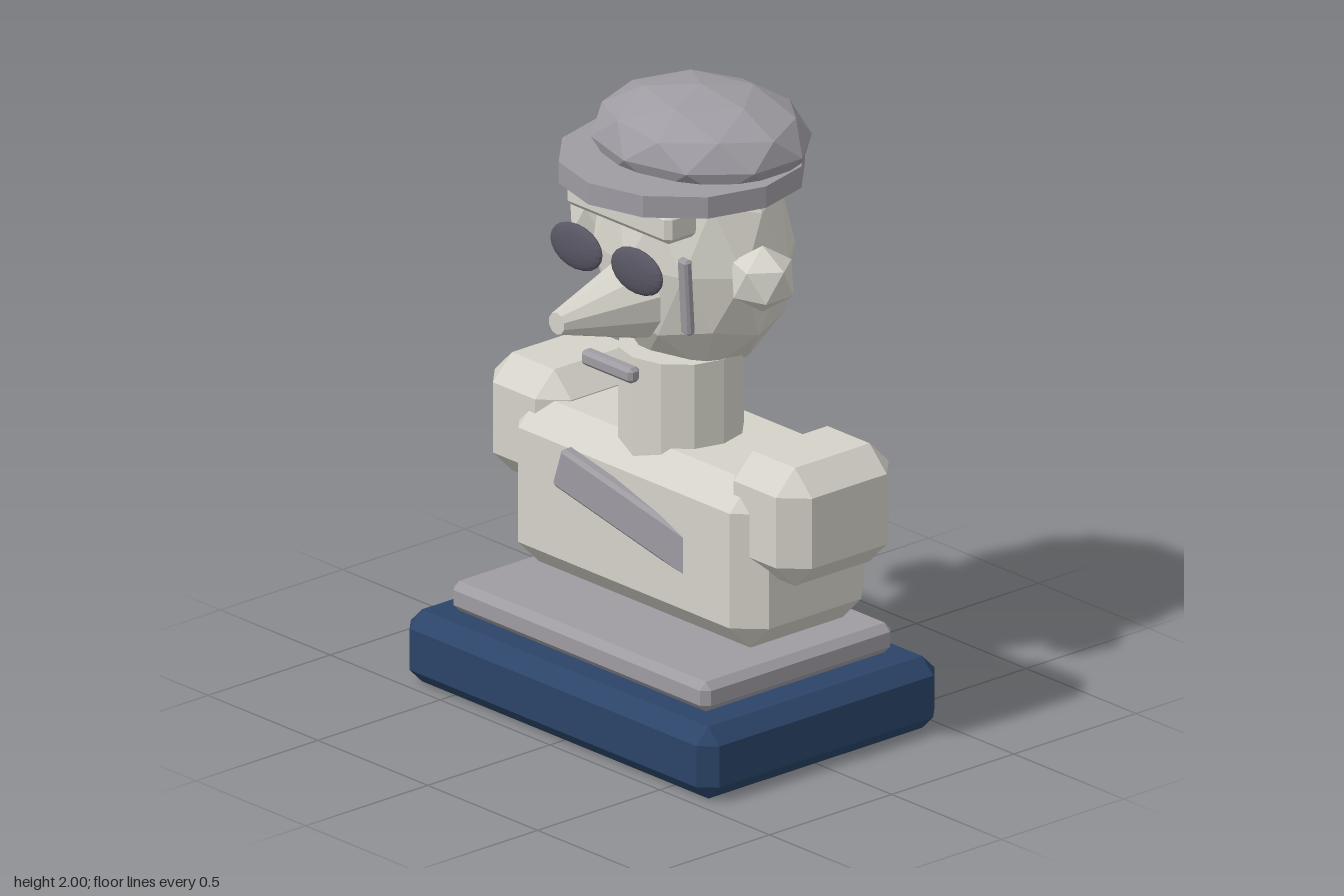
import * as THREE from 'three';
import { ConvexGeometry } from 'three/addons/geometries/ConvexGeometry.js';

function makeMaterial(name, color) {
  const m = new THREE.MeshStandardMaterial({ color, flatShading: true });
  m.name = name;
  return m;
}

// Box with every edge cut by a flat chamfer b
function chamferBox(w, h, d, b) {
  const half = [w / 2, h / 2, d / 2];
  const points = [];
  for (const sx of [-1, 1]) for (const sy of [-1, 1]) for (const sz of [-1, 1]) {
    for (let axis = 0; axis < 3; axis++) {
      const p = half.map((v, i) => (i === axis ? v : v - b));
      points.push(new THREE.Vector3(p[0] * sx, p[1] * sy, p[2] * sz));
    }
  }
  return new ConvexGeometry(points);
}

// Faceted ball with a vertex at each pole, stretched per axis
function facetBall(rx, ry, rz, detail) {
  const g = new THREE.IcosahedronGeometry(1, detail);
  g.rotateZ(-Math.atan(2 / (1 + Math.sqrt(5))));
  g.scale(rx, ry, rz);
  g.computeVertexNormals();
  return g;
}

export function createModel() {
  const stone = makeMaterial('pale stone', 0xd4d2c8);
  const grey = makeMaterial('warm grey', 0x9e9ba2);
  const navy = makeMaterial('navy blue', 0x2b4468);
  const dark = makeMaterial('dark grey', 0x585663);

  const model = new THREE.Group();
  model.name = 'bust';
  const add = (name, geometry, material, x, y, z) => {
    const mesh = new THREE.Mesh(geometry, material);
    mesh.name = name;
    mesh.position.set(x, y, z);
    model.add(mesh);
    return mesh;
  };

  // Pedestal
  add('base', chamferBox(1.405, 0.235, 0.975, 0.05), navy, 0, 0.1175, 0);
  add('plinth', chamferBox(1.17, 0.097, 0.78, 0.024), grey, 0, 0.288, 0);

  // Body
  add('torso', chamferBox(1.132, 0.545, 0.548, 0.085), stone, 0, 0.63, -0.077);
  add('neck', new THREE.CylinderGeometry(0.196, 0.196, 0.4, 12), stone, 0, 0.978, -0.037);

  // Diagonal sash sinking into the chest
  const sash = add('sash', chamferBox(0.7, 0.137, 0.05, 0.012), grey, 0.085, 0.673, 0.194);
  sash.rotation.set(0, 0.12, -0.295);

  // Head and face
  add('head', facetBall(0.347, 0.415, 0.285, 1), stone, 0, 1.49, -0.09);
  add('brow', chamferBox(0.476, 0.1, 0.13, 0.018), stone, 0, 1.678, 0.165);
  const nose = new THREE.CylinderGeometry(0.036, 0.13, 0.315, 10);
  nose.rotateX(Math.PI / 2);
  add('nose', nose, stone, 0, 1.372, 0.315);
  add('mouth', chamferBox(0.232, 0.05, 0.046, 0.012), grey, 0, 1.176, 0.252);
  const cord = add('cheekStrip', chamferBox(0.044, 0.26, 0.03, 0.008), grey, 0.215, 1.435, 0.135);
  cord.rotation.set(0.12, 0, -0.07);

  // Paired parts
  for (const [side, s] of [['left', 1], ['right', -1]]) {
    add(side + 'Shoulder', chamferBox(0.348, 0.386, 0.462, 0.078), stone, s * 0.548, 0.791, -0.077);
    add(side + 'Ear', facetBall(0.108, 0.108, 0.108, 0), stone, s * 0.368, 1.492, -0.04);
    const eye = new THREE.SphereGeometry(1, 20, 12);
    eye.rotateX(Math.PI / 2);
    eye.scale(0.116, 0.074, 0.024);
    add(side + 'Eye', eye, dark, s * 0.138, 1.53, 0.267);
  }

  // Cap
  add('capBrim', new THREE.CylinderGeometry(0.383, 0.383, 0.07, 12), grey, 0, 1.763, -0.04);
  add('capCrown', facetBall(0.369, 0.167, 0.318, 1), grey, 0, 1.833, -0.12);

  return model;
}
